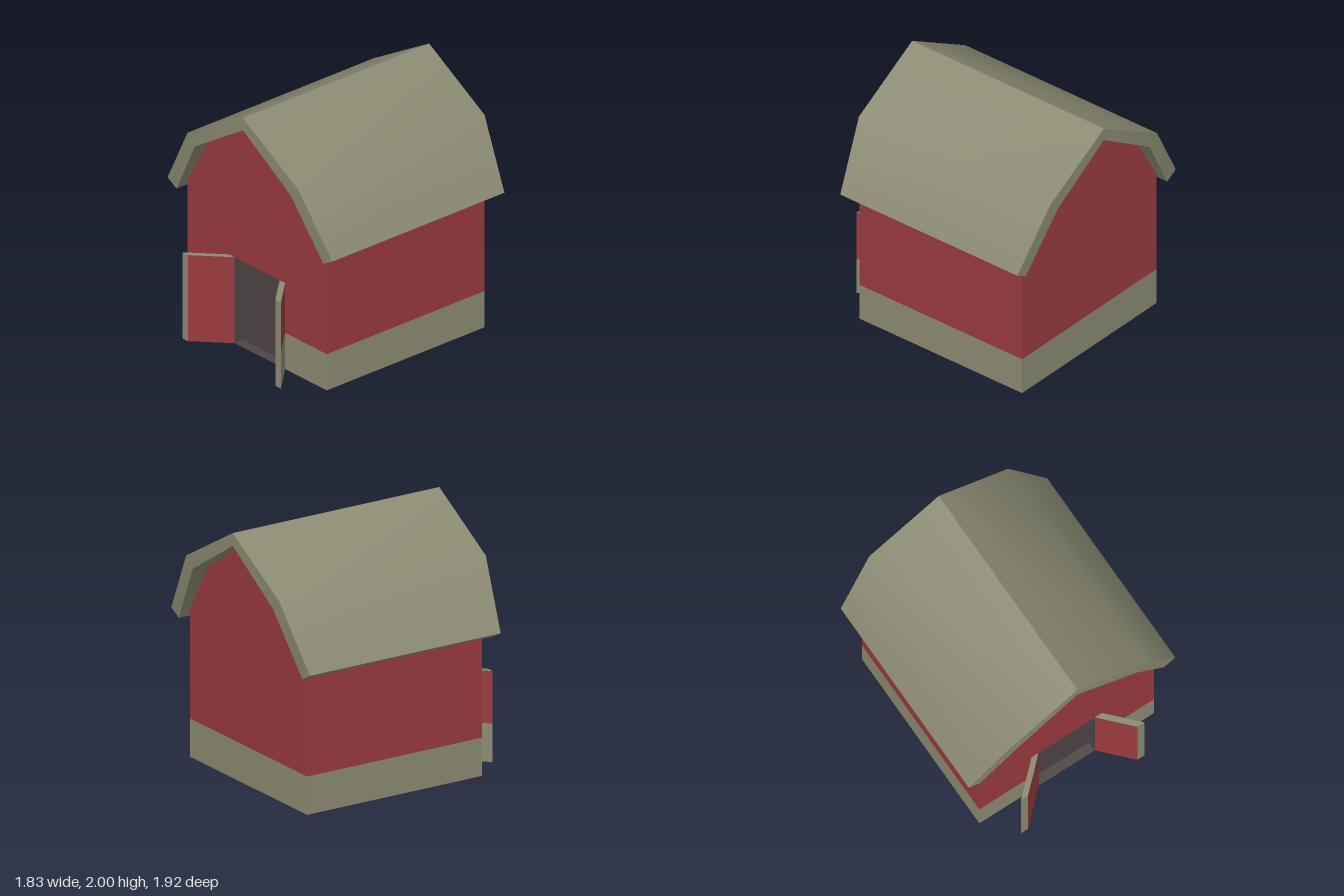
import * as THREE from 'three';
import { toCreasedNormals } from 'three/addons/utils/BufferGeometryUtils.js';

const paint = (color, side = THREE.FrontSide) => new THREE.MeshStandardMaterial({ color, side });
const red = paint(0x983a3e);
const olive = paint(0x8a8a72);
const dark = paint(0x4e4444);
const redPanel = paint(0x983a3e, THREE.DoubleSide);
const olivePanel = paint(0x8a8a72, THREE.DoubleSide);

const W = 0.775, FRONT = 0.73, BACK = -0.82, RECESS = 0.65; // walls
const DOOR_X = 0.25, DOOR_H = 0.71, BAND = 0.3, SOLE = 0.002;

function add(parent, name, geometry, material) {
  const mesh = new THREE.Mesh(geometry, material);
  mesh.name = name;
  parent.add(mesh);
  return mesh;
}

// Box given by its two opposite corners
function block(parent, name, [x0, y0, z0], [x1, y1, z1], material) {
  const g = new THREE.BoxGeometry(x1 - x0, y1 - y0, z1 - z0);
  g.translate((x0 + x1) / 2, (y0 + y1) / 2, (z0 + z1) / 2);
  return add(parent, name, g, material);
}

// Outline in x and y, extruded from z0 to z1
function prism(points, z0, z1) {
  const shape = new THREE.Shape(points.map(([x, y]) => new THREE.Vector2(x, y)));
  const g = new THREE.ExtrudeGeometry(shape, { depth: z1 - z0, bevelEnabled: false });
  return g.translate(0, 0, z0);
}

// Upright panel between two ground points [x, z]
function panel(parent, name, a, b, y0, y1, material) {
  const g = new THREE.BufferGeometry().setFromPoints([
    new THREE.Vector3(a[0], y0, a[1]), new THREE.Vector3(b[0], y0, b[1]),
    new THREE.Vector3(b[0], y1, b[1]), new THREE.Vector3(a[0], y1, a[1]),
  ]);
  g.setIndex([0, 1, 2, 0, 2, 3]);
  g.computeVertexNormals();
  add(parent, name, g, material);
}

function createWalls() {
  const walls = new THREE.Group();
  walls.name = 'walls';
  const gable = [[W, 1.15], [0.53, 1.565], [0, 1.9], [-0.53, 1.565], [-W, 1.15]];

  // Red upper walls: solid body plus a front slab notched for the doorway
  add(walls, 'upperWalls', prism([[-W, BAND], [W, BAND], ...gable], BACK, RECESS), red);
  add(walls, 'frontWall', prism([
    [-W, BAND], [-DOOR_X, BAND], [-DOOR_X, DOOR_H], [DOOR_X, DOOR_H], [DOOR_X, BAND], [W, BAND], ...gable,
  ], RECESS, FRONT), red);

  // Base band, flush with the walls, on a red underside
  block(walls, 'baseBand', [-W, SOLE, BACK], [W, BAND, RECESS], olive);
  block(walls, 'frontBaseRight', [-W, SOLE, RECESS], [-DOOR_X, BAND, FRONT], olive);
  block(walls, 'frontBaseLeft', [DOOR_X, SOLE, RECESS], [W, BAND, FRONT], olive);
  block(walls, 'underside', [-W, 0, BACK], [W, SOLE, FRONT], red);

  // Dark lining of the doorway
  const t = 0.004;
  block(walls, 'doorwayBack', [-DOOR_X, SOLE, RECESS], [DOOR_X, DOOR_H, RECESS + t], dark);
  block(walls, 'doorwayFloor', [-DOOR_X, SOLE, RECESS], [DOOR_X, SOLE + t, FRONT], dark);
  block(walls, 'doorwayTop', [-DOOR_X, DOOR_H - t, RECESS], [DOOR_X, DOOR_H, FRONT], dark);
  for (const s of [-1, 1]) {
    const x = s * (DOOR_X - t / 2);
    block(walls, 'doorwaySide', [x - t / 2, SOLE, RECESS], [x + t / 2, DOOR_H, FRONT], dark);
  }
  return walls;
}

// Gambrel roof shell whose ends draw in towards the eaves
function createRoof() {
  const outer = [[0.915, 1.14], [0.615, 1.645], [0, 2], [-0.615, 1.645], [-0.915, 1.14]];
  const inner = [[-0.815, 1.085], [-0.53, 1.565], [0, 1.9], [0.53, 1.565], [0.815, 1.085]];
  const g = prism([...outer, ...inner], -0.96, 0.87);
  const p = g.attributes.position;
  for (let i = 0; i < p.count; i++) {
    if (p.getY(i) < 1.2) p.setZ(i, p.getZ(i) - Math.sign(p.getZ(i)) * 0.07);
  }
  const roof = new THREE.Mesh(toCreasedNormals(g, 0.8), olive);
  roof.name = 'roof';
  return roof;
}

// Open door leaf, a slanted slab from the doorway edge outwards
function createDoor(side, tip) {
  const door = new THREE.Group();
  door.name = side > 0 ? 'leftDoor' : 'rightDoor';
  const tipZ = 0.965, thick = 0.062;
  const hingeIn = [side * DOOR_X, FRONT], hingeOut = [side * (DOOR_X + thick), FRONT];
  const tipIn = [side * tip, tipZ], tipOut = [side * (tip + thick), tipZ];

  panel(door, 'innerFace', hingeIn, tipIn, 0, DOOR_H, redPanel);
  panel(door, 'endFace', tipIn, tipOut, 0, DOOR_H, olivePanel);
  panel(door, 'outerFace', tipOut, hingeOut, BAND, DOOR_H, redPanel);
  panel(door, 'outerBand', tipOut, hingeOut, 0, BAND, olivePanel);

  // Top and bottom edges
  const outline = new THREE.Shape([hingeIn, tipIn, tipOut, hingeOut].map(([x, z]) => new THREE.Vector2(x, z)));
  for (const y of [0, DOOR_H]) {
    const g = new THREE.ShapeGeometry(outline).rotateX(Math.PI / 2).translate(0, y, 0);
    add(door, y ? 'topEdge' : 'bottomEdge', g, olivePanel);
  }
  return door;
}

export function createModel() {
  const barn = new THREE.Group();
  barn.name = 'barn';
  barn.add(createWalls(), createRoof(), createDoor(1, 0.468), createDoor(-1, 0.502));
  return barn;
}
